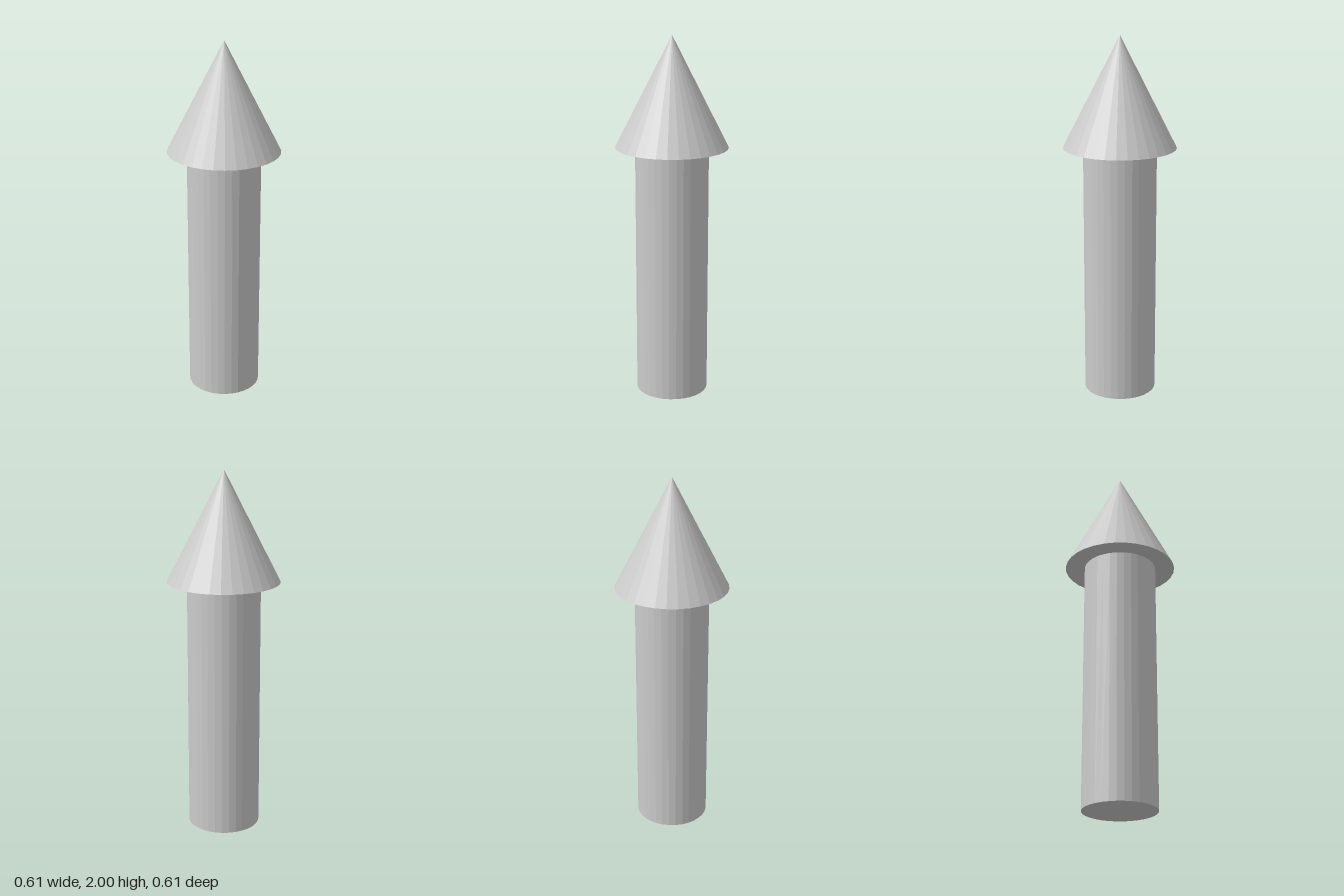
import * as THREE from 'three';

const SIDES = 32;
const SHAFT_RADIUS = 0.2;
const HEAD_RADIUS = 0.307;
const SHAFT_HEIGHT = 1.4;
const TOTAL_HEIGHT = 2;

export function createModel() {
  const group = new THREE.Group();
  group.name = 'arrow';
  const material = new THREE.MeshStandardMaterial({ color: 0xcccccc, flatShading: true });

  // Straight faceted shaft, closed at both ends
  const shaft = new THREE.Mesh(
    new THREE.CylinderGeometry(SHAFT_RADIUS, SHAFT_RADIUS, SHAFT_HEIGHT, SIDES),
    material
  );
  shaft.name = 'shaft';
  shaft.position.y = SHAFT_HEIGHT / 2;

  // Pointed head overhanging the shaft
  const headHeight = TOTAL_HEIGHT - SHAFT_HEIGHT;
  const head = new THREE.Mesh(new THREE.ConeGeometry(HEAD_RADIUS, headHeight, SIDES), material);
  head.name = 'head';
  head.position.y = SHAFT_HEIGHT + headHeight / 2;

  group.add(shaft, head);
  return group;
}
